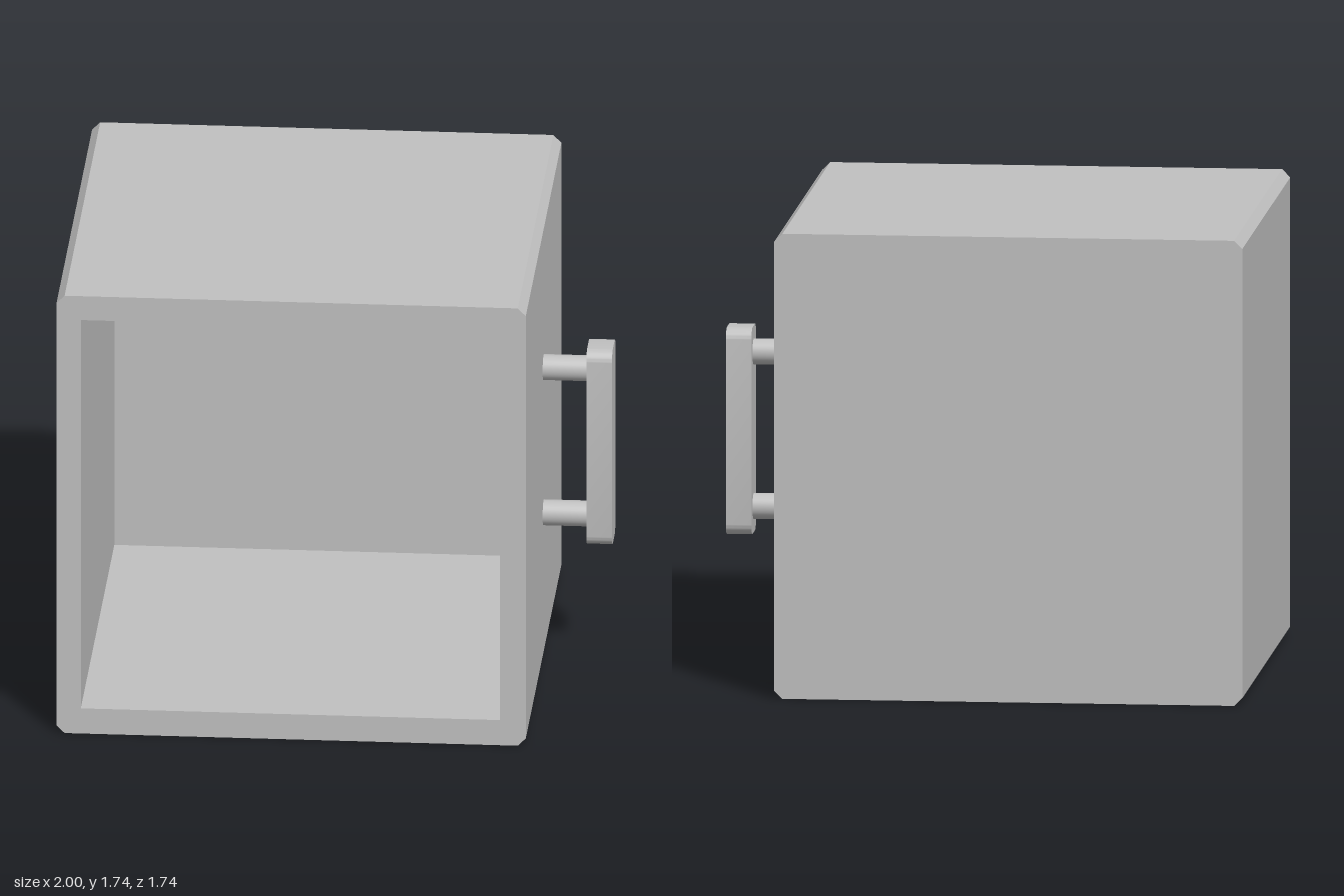
import * as THREE from 'three';
import { toCreasedNormals } from 'three/addons/utils/BufferGeometryUtils.js';

// Closed path of a square with cut corners
function chamferedRect(x0, y0, x1, y1, c) {
  return new THREE.Shape([
    [x0 + c, y0], [x1 - c, y0], [x1, y0 + c], [x1, y1 - c],
    [x1 - c, y1], [x0 + c, y1], [x0, y1 - c], [x0, y0 + c],
  ].map(([x, y]) => new THREE.Vector2(x, y)));
}

function roundedRect(w, h, r) {
  const a = w / 2 - r, b = h / 2 - r, q = Math.PI / 2;
  const s = new THREE.Shape();
  [[a, b], [-a, b], [-a, -b], [a, -b]].forEach(([x, y], i) =>
    s.absarc(x, y, r, i * q, (i + 1) * q, false));
  s.closePath();
  return s;
}

export function createModel() {
  const model = new THREE.Group();
  model.name = 'openBoxWithHandle';
  const grey = new THREE.MeshStandardMaterial({ color: 0xc0c0c0 });
  grey.name = 'light grey';

  const add = (name, geometry, x, y, z, parent = model) => {
    const mesh = new THREE.Mesh(geometry, grey);
    mesh.name = name;
    mesh.position.set(x, y, z);
    parent.add(mesh);
    return mesh;
  };
  const extrude = (shape, depth) =>
    new THREE.ExtrudeGeometry(shape, { depth, bevelEnabled: false, curveSegments: 8 });

  // Four walls around the square opening, chamfered on the long edges
  const walls = chamferedRect(-1, 0, 0.74, 1.74, 0.03);
  walls.holes.push(chamferedRect(-0.91, 0.1, 0.645, 1.645, 0));
  add('boxWalls', extrude(walls, 1.64), 0, 0, -0.77);

  // Closed back
  add('backPanel', extrude(chamferedRect(-1, 0, 0.74, 1.74, 0.03), 0.1), 0, 0, -0.87);

  // Handle on the left side: two posts and a rounded grip bar
  const handle = new THREE.Group();
  handle.name = 'handle';
  model.add(handle);
  for (const [name, y] of [['lowerPost', 0.585], ['upperPost', 1.163]]) {
    const post = new THREE.CylinderGeometry(0.048, 0.048, 0.18, 32).rotateZ(Math.PI / 2);
    add(name, post, 0.82, y, 0, handle);
  }
  const grip = extrude(roundedRect(0.174, 0.774, 0.045), 0.095).rotateY(Math.PI / 2);
  add('grip', toCreasedNormals(grip, 0.6), 0.905, 0.873, 0, handle);

  return model;
}
